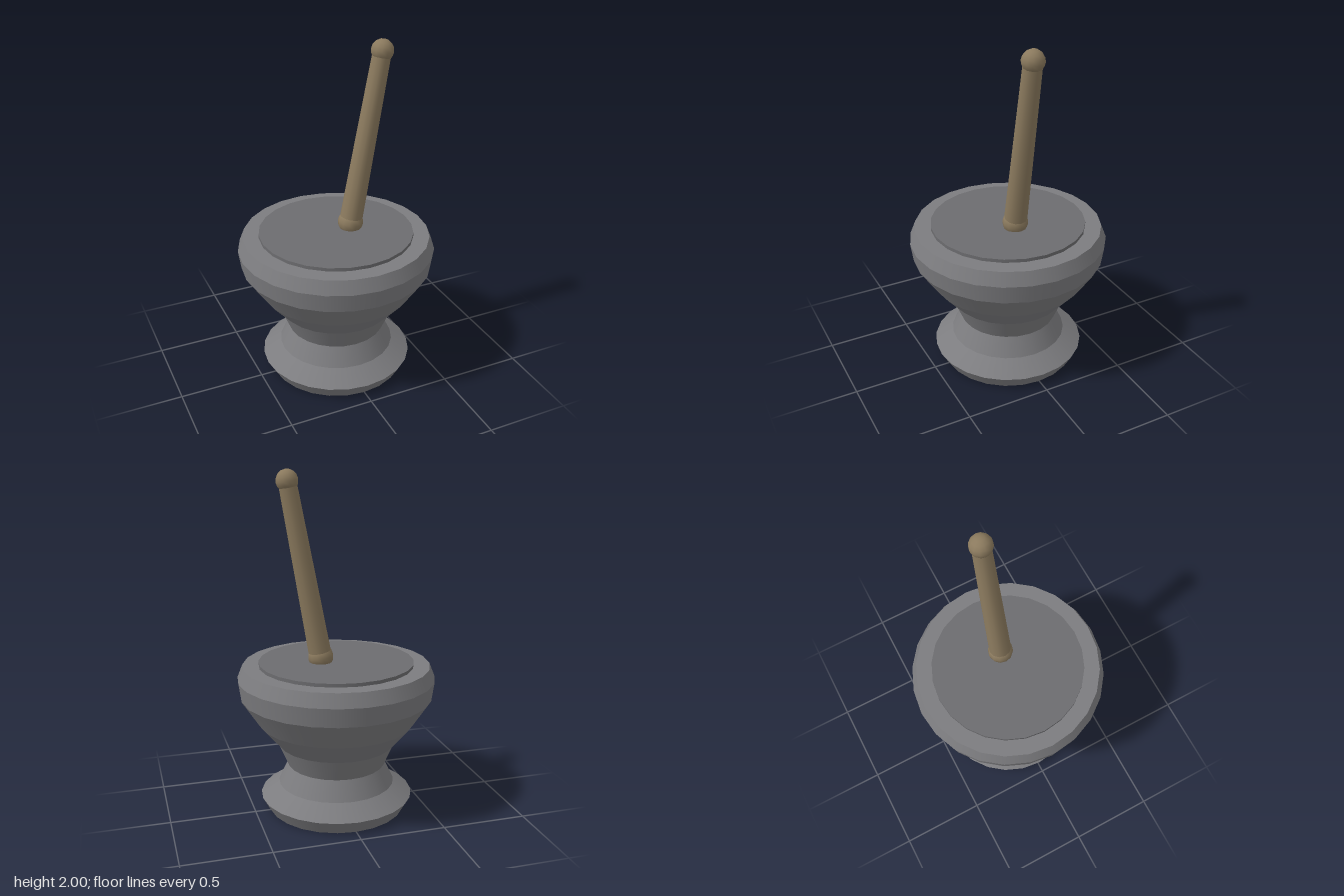
import * as THREE from 'three';
import { mergeGeometries } from 'three/addons/utils/BufferGeometryUtils.js';

const SIDES = 24;

// Stack of conical bands: smooth around, crisp edges between rings.
function bandedBody(profile) {
  const bands = [];
  for (let i = 0; i < profile.length - 1; i++) {
    const [r0, y0] = profile[i], [r1, y1] = profile[i + 1];
    bands.push(new THREE.CylinderGeometry(r1, r0, y1 - y0, SIDES, 1, true).translate(0, (y0 + y1) / 2, 0));
  }
  const [rBottom, yBottom] = profile[0], [rTop, yTop] = profile[profile.length - 1];
  bands.push(new THREE.CircleGeometry(rBottom, SIDES).rotateZ(Math.PI / 2).rotateX(Math.PI / 2).translate(0, yBottom, 0));
  bands.push(new THREE.CircleGeometry(rTop, SIDES).rotateZ(Math.PI / 2).rotateX(-Math.PI / 2).translate(0, yTop, 0));
  return mergeGeometries(bands);
}

export function createModel() {
  const model = new THREE.Group();
  const stone = new THREE.MeshStandardMaterial({ color: 0x7c7c7f });
  const darkStone = new THREE.MeshStandardMaterial({ color: 0x6c6c6f });
  const wood = new THREE.MeshStandardMaterial({ color: 0x8b7a5e });

  const add = (parent, name, geometry, material) => {
    const mesh = new THREE.Mesh(geometry, material);
    mesh.name = name;
    parent.add(mesh);
    return mesh;
  };

  // Flared foot and narrow waist, then the bowl widening to its rim
  const foot = [[0.408, 0], [0.453, 0.08], [0.345, 0.155], [0.29, 0.27]];
  const bowl = [[0.29, 0.27], [0.345, 0.4], [0.46, 0.535], [0.563, 0.692], [0.579, 0.802], [0.548, 0.88]];
  add(model, 'mortar', bandedBody([...foot, ...bowl.slice(1)]), stone);

  // Shallow disc filling the mouth of the bowl
  add(model, 'mouthDisc', new THREE.CylinderGeometry(0.454, 0.454, 0.04, SIDES), darkStone).position.y = 0.88;

  // Leaning pestle: local origin at its lower end, axis along y
  const base = new THREE.Vector2(0.094, 0.932), tip = new THREE.Vector2(0.278, 1.937);
  const length = base.distanceTo(tip);
  const pestle = new THREE.Group();
  pestle.name = 'pestle';
  pestle.position.set(base.x, base.y, 0);
  pestle.rotation.z = -Math.atan2(tip.x - base.x, tip.y - base.y);
  add(pestle, 'shaft', new THREE.CylinderGeometry(0.052, 0.067, length, 12), wood).position.y = length / 2;
  add(pestle, 'grindingEnd', new THREE.SphereGeometry(0.075, 12, 8), wood);
  add(pestle, 'knob', new THREE.SphereGeometry(0.064, 12, 8), wood).position.y = length;
  model.add(pestle);

  return model;
}
